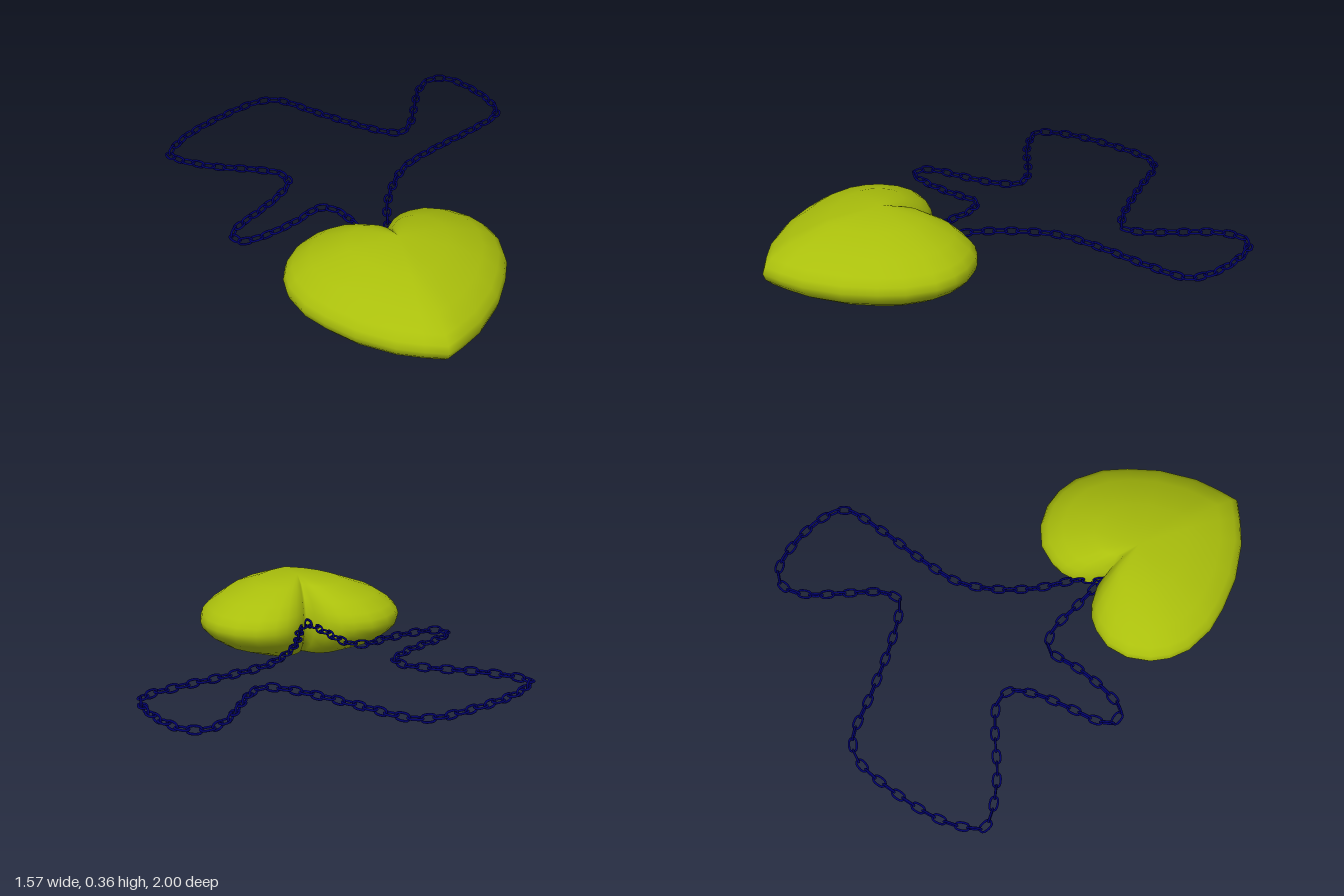
import * as THREE from 'three';

const MID_Y = 0.188;

// Heart: shrinking outline rings stacked above and below the widest one
function heartGeometry() {
  const half = [ // offset from the centre line, z; cleft to tip
    [0, 0.31], [0.025, 0.25], [0.075, 0.195], [0.125, 0.165], [0.18, 0.152], [0.265, 0.155],
    [0.35, 0.2], [0.415, 0.275], [0.447, 0.35], [0.458, 0.44], [0.432, 0.565], [0.38, 0.665],
    [0.297, 0.785], [0.175, 0.9], [0.08, 0.957], [0, 0.997],
  ];
  const outline = [...half, ...half.slice(1, -1).reverse().map(([x, z]) => [-x, z])];
  const rings = [[0.45, 0.157], [0.77, 0.105], [0.92, 0.06], [0.98, 0.03], [1, 0]]; // scale, height
  const levels = [...rings, ...rings.slice(0, -1).reverse().map(([s, h]) => [s, -h])];
  const cx = -0.11, cz = 0.47, thick = 0.182, n = outline.length;

  const pos = [cx, MID_Y + thick, cz];
  for (const [s, h] of levels)
    for (const [x, z] of outline) pos.push(cx + x * s, MID_Y + h, cz + (z - cz) * s);
  pos.push(cx, MID_Y - thick, cz);

  const index = [], last = 1 + levels.length * n;
  for (let i = 0; i < n; i++) {
    const j = (i + 1) % n;
    index.push(0, 1 + j, 1 + i);
    for (let r = 0; r < levels.length - 1; r++) {
      const a = 1 + r * n, b = a + n;
      index.push(a + i, a + j, b + i, a + j, b + j, b + i);
    }
    index.push(last, last - n + i, last - n + j);
  }
  const g = new THREE.BufferGeometry();
  g.setAttribute('position', new THREE.Float32BufferAttribute(pos, 3));
  g.setIndex(index);
  g.computeVertexNormals();
  return g;
}

// One elongated link lying flat, long axis along x
function linkGeometry(length, width, wire) {
  const L = length / 2 - wire, W = width / 2 - wire, c = L - W;
  const pts = [];
  for (const side of [1, -1])
    for (const deg of [-90, -45, 0, 45, 90]) {
      const a = THREE.MathUtils.degToRad(deg);
      pts.push(new THREE.Vector3(side * (c + W * Math.cos(a)), 0, side * W * Math.sin(a)));
    }
  return new THREE.TubeGeometry(new THREE.CatmullRomCurve3(pts, true), 20, wire, 6, true);
}

export function createModel() {
  const model = new THREE.Group();
  model.name = 'heartPendantNecklace';

  const heart = new THREE.Mesh(heartGeometry(), new THREE.MeshStandardMaterial({ color: 0xaabf0c }));
  heart.name = 'heartPendant';
  model.add(heart);

  // Path of the chain, from the cleft of the heart and back to it
  const path = new THREE.CatmullRomCurve3([
    [-0.115, 0.29], [-0.155, 0.14], [-0.2, -0.01], [-0.26, -0.06], [-0.4, 0], [-0.55, 0.047],
    [-0.64, 0.05], [-0.665, 0], [-0.63, -0.05], [-0.51, -0.13], [-0.395, -0.215], [-0.33, -0.3],
    [-0.35, -0.37], [-0.44, -0.435], [-0.615, -0.53], [-0.735, -0.63], [-0.765, -0.68],
    [-0.72, -0.75], [-0.64, -0.82], [-0.46, -0.915], [-0.26, -0.98], [-0.17, -0.955],
    [-0.035, -0.79], [0.09, -0.64], [0.2, -0.53], [0.265, -0.495], [0.33, -0.54], [0.41, -0.68],
    [0.49, -0.82], [0.575, -0.885], [0.65, -0.865], [0.72, -0.755], [0.762, -0.595],
    [0.745, -0.49], [0.58, -0.4], [0.385, -0.325], [0.2, -0.235], [0.1, -0.13], [0.01, 0.02],
    [-0.055, 0.2], [-0.105, 0.29],
  ].map(([x, z]) => new THREE.Vector3(x, MID_Y, z)));
  path.arcLengthDivisions = 1000;

  const chain = new THREE.Group();
  chain.name = 'chain';
  const geo = linkGeometry(0.068, 0.04, 0.005);
  const navy = new THREE.MeshStandardMaterial({ color: 0x00006a });
  const count = 2 * Math.round(path.getLength() / 0.097);
  for (let i = 0; i <= count; i++) {
    const link = new THREE.Mesh(geo, navy);
    const t = path.getTangentAt(i / count);
    link.name = 'chainLink';
    link.position.copy(path.getPointAt(i / count));
    link.rotation.order = 'YXZ';
    // every other link stands on edge
    link.rotation.set(i % 2 ? 0 : Math.PI / 2, Math.atan2(-t.z, t.x), 0);
    chain.add(link);
  }
  model.add(chain);
  return model;
}
